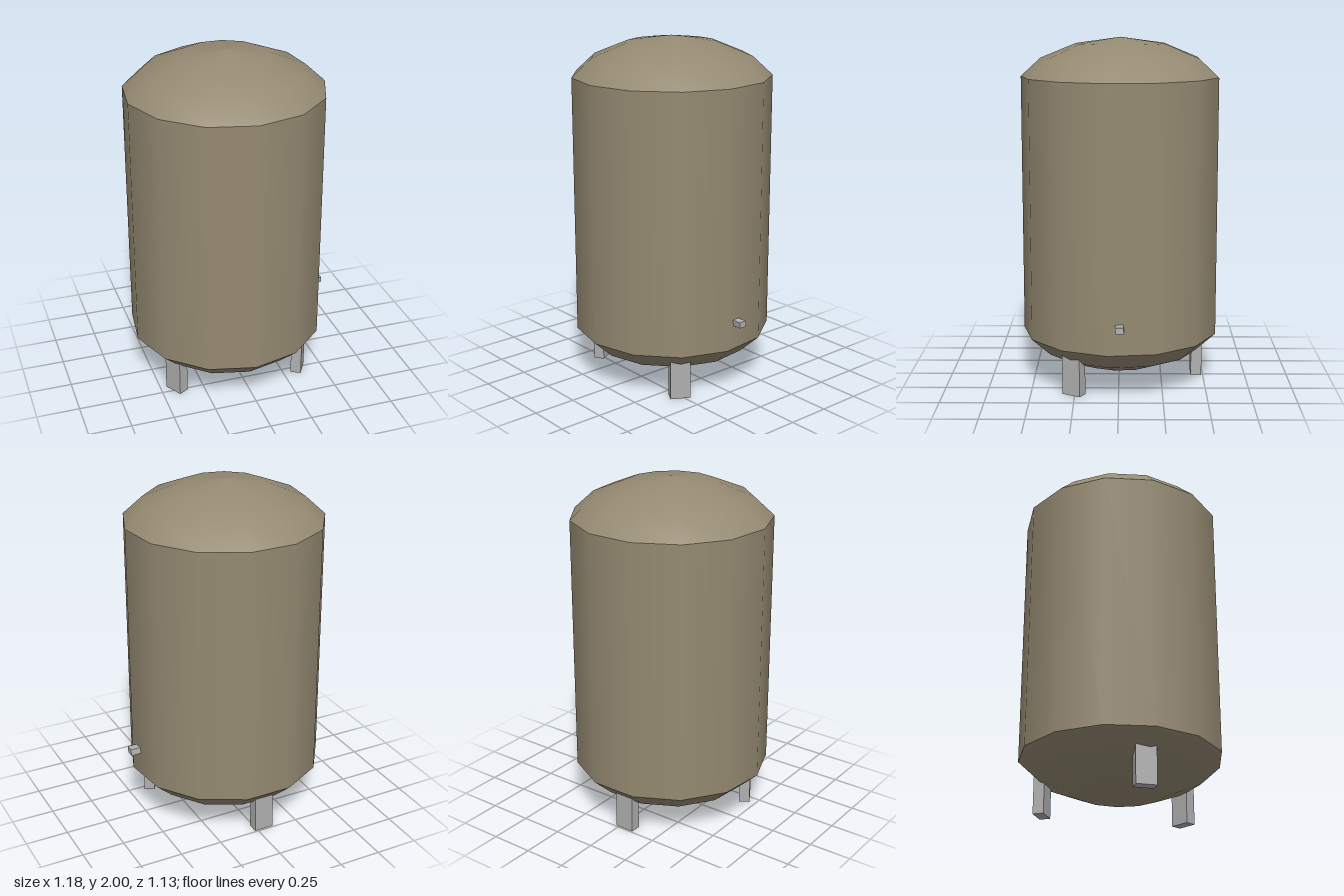
import * as THREE from 'three';

export function createModel() {
  const model = new THREE.Group();
  model.name = 'storageTank';

  const tankPaint = new THREE.MeshStandardMaterial({ name: 'khaki tank paint', color: 0x958a72 });
  const steel = new THREE.MeshStandardMaterial({ name: 'grey steel', color: 0xb0b0b0 });

  const add = (name, geometry, material, x = 0, y = 0, z = 0) => {
    const mesh = new THREE.Mesh(geometry, material);
    mesh.name = name;
    mesh.position.set(x, y, z);
    model.add(mesh);
    return mesh;
  };

  // Thirteen-sided tank: wall and two domes, each smooth with a crease where they meet
  const radius = 0.572, bottom = 0.285, top = 1.777;
  const dome = [[radius, 0], [0.458, 0.105], [0.257, 0.187], [0, 0.223]];
  const lathe = (points) =>
    new THREE.LatheGeometry(points.map(([r, y]) => new THREE.Vector2(r, y)), 13);
  const cx = -0.025, cz = -0.008;
  add('tankWall', lathe([[radius, bottom], [radius, top]]), tankPaint, cx, 0, cz);
  add('topDome', lathe(dome), tankPaint, cx, top, cz);
  add('bottomDome', lathe(dome.map(([r, y]) => [r, -y]).reverse()), tankPaint, cx, bottom, cz);

  // Three legs, broad side facing outward, running up into the lower dome
  const legHeight = 0.235;
  const legs = [
    ['leftLeg', 0.352, 0.255, Math.PI / 3],
    ['rightLeg', -0.406, 0.231, -Math.PI / 3],
    ['backLeg', -0.04, -0.46, Math.PI],
  ];
  for (const [name, x, z, turn] of legs) {
    const leg = add(name, new THREE.BoxGeometry(0.115, legHeight, 0.063), steel, x, legHeight / 2, z);
    leg.rotation.y = turn;
  }

  // Small outlet stub on the left side, slightly skewed in section
  const section = new THREE.Shape([
    new THREE.Vector2(-0.014, -0.018),
    new THREE.Vector2(0.033, -0.018),
    new THREE.Vector2(0.027, 0.018),
    new THREE.Vector2(-0.019, 0.018),
  ]);
  const outlet = new THREE.ExtrudeGeometry(section, { depth: 0.1, bevelEnabled: false });
  outlet.rotateY(Math.PI / 2);
  add('outlet', outlet, steel, 0.4915, 0.443, 0);

  return model;
}
